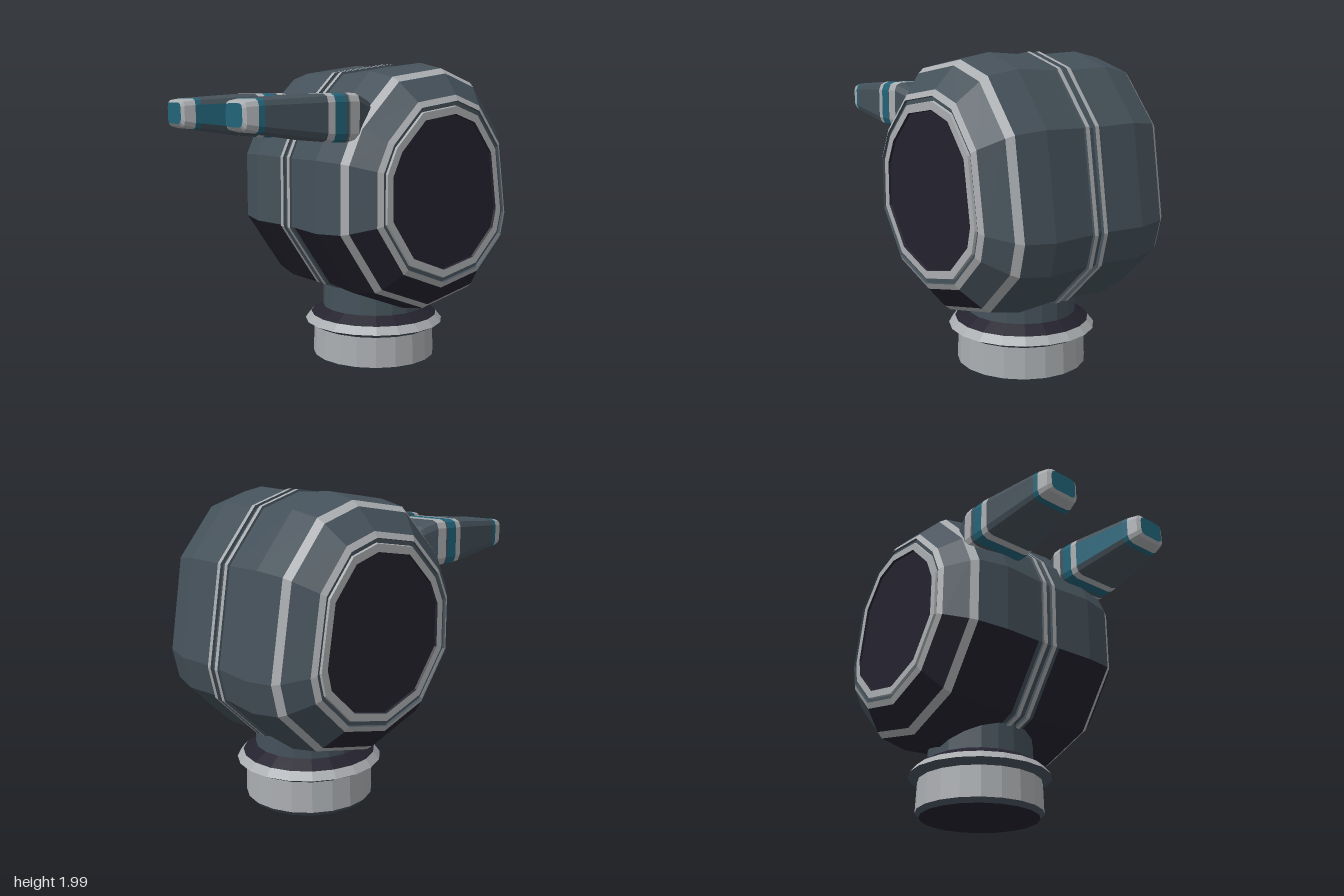
import * as THREE from 'three';

const mat = (name, color, extra = {}) => {
  const m = new THREE.MeshStandardMaterial({ color, flatShading: true, ...extra });
  m.name = name;
  return m;
};

// Skins a row of closed rings; pick(i, j) gives the material index of each face.
function loft(rings, pick, materials) {
  const buckets = materials.map(() => []);
  const n = rings[0].length;
  for (let i = 0; i < rings.length - 1; i++) {
    for (let j = 0; j < n; j++) {
      const k = (j + 1) % n;
      const a = rings[i][j], b = rings[i][k], c = rings[i + 1][k], d = rings[i + 1][j];
      const out = buckets[pick(i, j)];
      if (a.distanceTo(b) > 1e-6) out.push(a, b, d);
      if (c.distanceTo(d) > 1e-6) out.push(b, c, d);
    }
  }
  const geo = new THREE.BufferGeometry().setFromPoints(buckets.flat());
  let start = 0;
  buckets.forEach((b, m) => {
    if (b.length) geo.addGroup(start, b.length, m);
    start += b.length;
  });
  geo.computeVertexNormals();
  return new THREE.Mesh(geo, materials);
}

export function createModel() {
  const model = new THREE.Group();
  const slate = mat('slate', 0x45515a);
  const light = mat('light grey', 0xaaadb0);
  const dark = mat('dark violet', 0x24222e);
  const teal = mat('teal', 0x226479);
  const materials = [slate, light, dark, teal];
  const SLATE = 0, LIGHT = 1, DARK = 2, TEAL = 3, SHELL = 4;

  // Head: one faceted outline (z, y), scaled at stations along x
  const outline = [
    [-0.38, 1.99], [0.03, 1.93], [0.33, 1.63], [0.435, 1.4], [0.435, 0.96], [0.16, 0.56],
    [-0.25, 0.4], [-0.67, 0.49], [-0.95, 0.77], [-0.995, 0.97], [-0.9, 1.58], [-0.65, 1.9],
  ];
  const cy = 1.195, cz = -0.28;
  // x, scale, colour of the band up to the next station
  const half = [
    [0.02, 0.975, SLATE], [0.022, 1, LIGHT], [0.052, 1, SLATE], [0.055, 0.982, SLATE],
    [0.085, 0.982, SHELL], [0.34, 1, SHELL], [0.535, 0.95, LIGHT], [0.58, 0.908, SHELL],
    [0.695, 0.745, LIGHT], [0.715, 0.7, SLATE], [0.7, 0.695, SLATE], [0.7, 0.665, LIGHT],
    [0.715, 0.66, LIGHT], [0.715, 0.6, DARK], [0.7, 0.595, DARK], [0.7, 0, DARK],
  ];
  const mirrored = half.map(([x, s]) => [-x, s]).reverse();
  const rings = [...mirrored, ...half].map(([x, s]) =>
    outline.map(([z, y]) => new THREE.Vector3(x, cy + (y - cy) * s, cz + (z - cz) * s)));
  const last = half.length - 1;
  const head = loft(rings, (i, j) => {
    const band = i < last ? half[last - 1 - i][2] : i === last ? SLATE : half[i - half.length][2];
    if (band !== SHELL) return band;
    return j >= 4 && j <= 6 ? DARK : SLATE; // dark chin facets
  }, materials);
  head.name = 'head';
  model.add(head);

  // Eye stalks: rounded rectangles along z
  const corner = (hw, y0, y1, r, cx, z) => {
    const pts = [];
    const ym = (y0 + y1) / 2, hh = (y1 - y0) / 2;
    [[1, 1], [-1, 1], [-1, -1], [1, -1]].forEach(([sx, sy], q) => {
      for (let k = 0; k < 3; k++) {
        const a = (q + k / 2) * Math.PI / 2;
        pts.push(new THREE.Vector3(
          cx + sx * (hw - r) + r * Math.cos(a), ym + sy * (hh - r) + r * Math.sin(a), z));
      }
    });
    return pts;
  };
  // z, half width, bottom, top, corner radius, colour up to the next section
  const sections = [
    [0.08, 0.13, 1.56, 1.7, 0.05, SLATE], [0.2, 0.175, 1.53, 1.765, 0.05, SLATE],
    [0.29, 0.2, 1.515, 1.797, 0.05, LIGHT], [0.36, 0.203, 1.512, 1.798, 0.05, SLATE],
    [0.365, 0.197, 1.515, 1.795, 0.05, SLATE], [0.38, 0.197, 1.515, 1.795, 0.05, TEAL],
    [0.458, 0.195, 1.515, 1.795, 0.05, LIGHT], [0.505, 0.19, 1.52, 1.793, 0.05, SLATE],
    [0.885, 0.138, 1.573, 1.768, 0.04, TEAL], [0.92, 0.133, 1.577, 1.765, 0.04, LIGHT],
    [0.985, 0.115, 1.592, 1.755, 0.035, LIGHT], [1, 0.092, 1.61, 1.74, 0.03, TEAL],
    [1, 0, 1.675, 1.675, 0, TEAL],
  ];
  for (const side of [1, -1]) {
    const stalk = loft(
      sections.map(([z, hw, y0, y1, r]) => corner(hw, y0, y1, r, side * 0.375, z)),
      (i, j) => {
        const inner = side > 0 ? j === 5 : j === 11; // teal inner flank
        return i === 7 && inner ? TEAL : sections[i][5];
      }, materials);
    stalk.name = side > 0 ? 'leftEyeStalk' : 'rightEyeStalk';
    model.add(stalk);
  }

  // Neck and base: stacked frustums
  const base = new THREE.Group();
  base.name = 'neckAndBase';
  base.position.z = cz;
  const frustum = (name, y0, r0, y1, r1, material) => {
    const m = new THREE.Mesh(new THREE.CylinderGeometry(r1, r0, y1 - y0, 20, 1, true), material);
    m.position.y = (y0 + y1) / 2;
    m.name = name;
    base.add(m);
  };
  frustum('baseChamfer', 0, 0.39, 0.03, 0.415, slate);
  frustum('baseDrum', 0.03, 0.415, 0.23, 0.408, light);
  frustum('flangeUnderside', 0.23, 0.408, 0.262, 0.47, slate);
  frustum('flangeRim', 0.262, 0.47, 0.31, 0.43, light);
  frustum('flangeTop', 0.31, 0.43, 0.36, 0.348, dark);
  frustum('neck', 0.36, 0.348, 0.68, 0.345, slate);
  const floor = new THREE.Mesh(new THREE.CircleGeometry(0.39, 20), dark);
  floor.rotation.x = Math.PI / 2;
  floor.rotation.z = Math.PI / 2;
  floor.name = 'baseUnderside';
  base.add(floor);
  model.add(base);

  return model;
}
